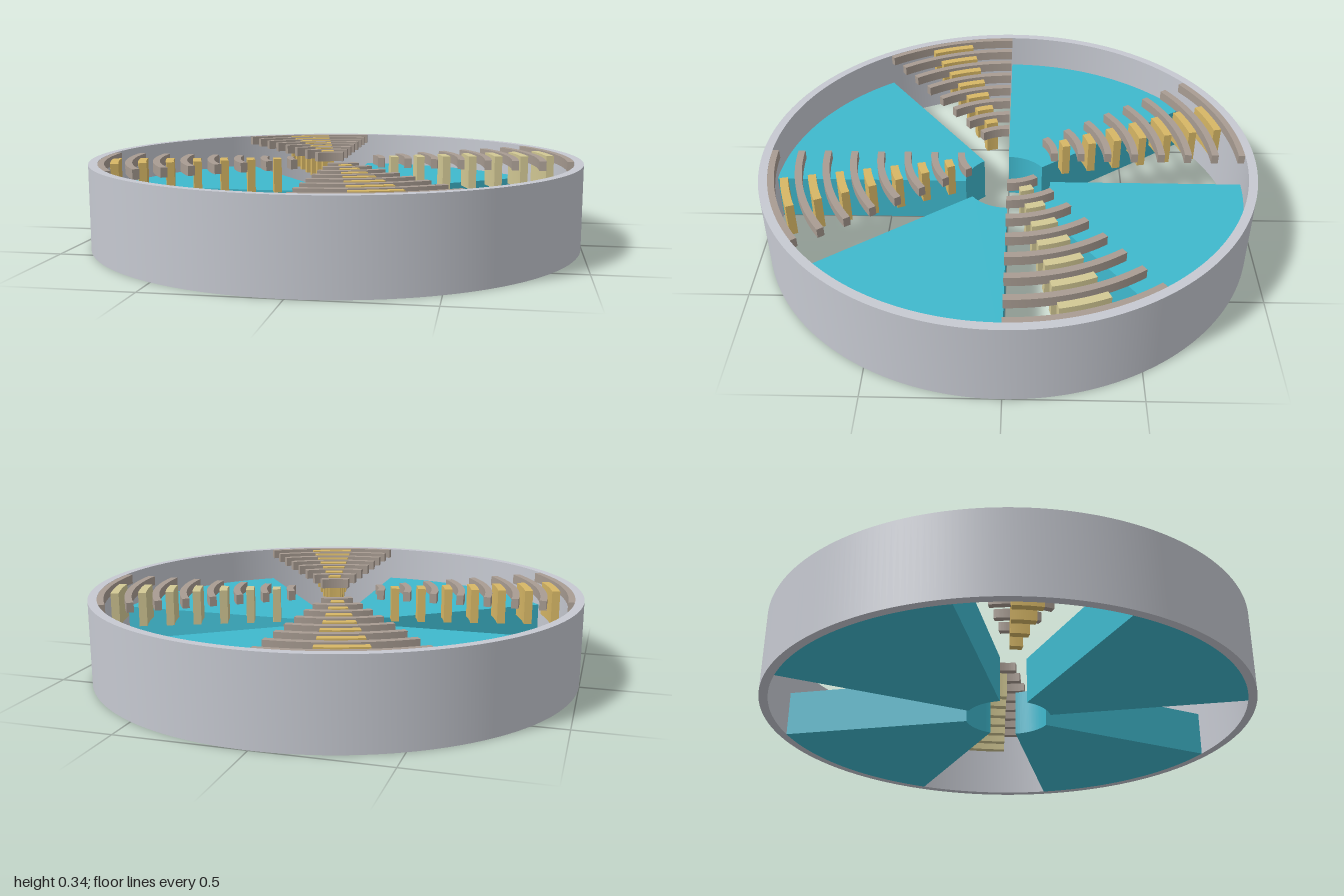
import * as THREE from 'three';
import { toCreasedNormals } from 'three/addons/utils/BufferGeometryUtils.js';

const material = (name, color) => new THREE.MeshStandardMaterial({ name, color });
const DEG = Math.PI / 180;

// Curved block between two radii and two angles (degrees from +x towards +z)
function sector(inner, outer, from, to, bottom, top, segments) {
  const shape = new THREE.Shape();
  shape.absarc(0, 0, outer, from * DEG, to * DEG, false);
  if (to - from >= 360) {
    const hole = new THREE.Path();
    hole.absarc(0, 0, inner, 0, Math.PI * 2, true);
    shape.holes.push(hole);
  } else {
    shape.absarc(0, 0, inner, to * DEG, from * DEG, true);
    shape.closePath();
  }
  const geometry = new THREE.ExtrudeGeometry(shape, {
    depth: top - bottom, bevelEnabled: false, curveSegments: segments,
  });
  geometry.rotateX(Math.PI / 2).translate(0, top, 0);
  return toCreasedNormals(geometry, 30 * DEG);
}

export function createModel() {
  const model = new THREE.Group();
  model.name = 'slottedDisc';

  const silver = material('silver', 0xc6c9d1);
  const teal = material('teal', 0x3fb8cd);
  const taupe = material('taupe', 0xa89c92);
  const gold = material('gold', 0xd6b665);
  const paleGold = material('paleGold', 0xd2c894);

  const add = (parent, name, geometry, mat) => {
    const mesh = new THREE.Mesh(geometry, mat);
    mesh.name = name;
    parent.add(mesh);
  };

  // Outer wall
  add(model, 'outerRing', sector(0.965, 1, 0, 360, 0, 0.34, 128), silver);

  // Four solid wedges alternating with four rows of arcs
  for (let q = 0; q < 4; q++) {
    const start = q * 90;
    const quarter = new THREE.Group();
    quarter.name = `quarter${q + 1}`;
    model.add(quarter);

    add(quarter, 'wedge', sector(0.176, 0.965, start, start + 54, 0, 0.193, 32), teal);

    // Thin concentric bars across the gap
    for (let i = 0; i < 8; i++) {
      const r = 0.19 + i * 0.109;
      add(quarter, 'arcBar', sector(r - 0.014, r + 0.014, start + 54, start + 90, 0.3, 0.339, 16), taupe);
    }

    // Taller short blocks between the bars
    for (let i = 0; i < 7; i++) {
      const r = 0.246 + i * 0.109;
      add(quarter, 'block', sector(r - 0.016, r + 0.016, start + 66, start + 78, 0.2, 0.339, 4),
        q === 3 ? paleGold : gold);
    }
  }
  return model;
}
